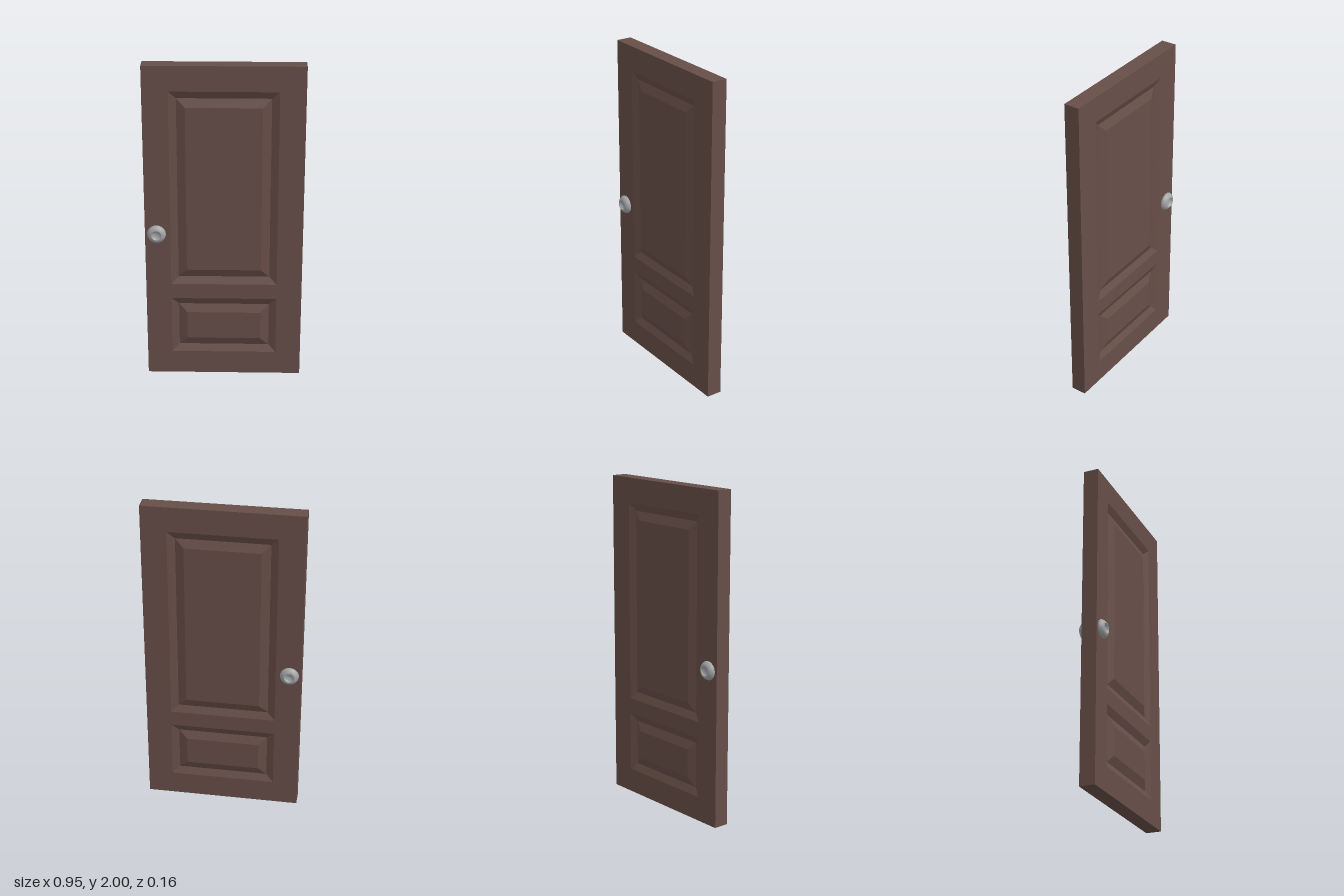
import * as THREE from 'three';

const W = 0.475, H = 2, D = 0.047; // half width, height, half thickness
const GROOVE = 0.02, BAND = 0.045; // groove depth, width of each bevel
const PANELS = [[-0.322, 0.62, 0.322, 1.848], [-0.322, 0.15, 0.322, 0.522]];

// Raised panel in a V groove, lofted from nested rectangles
function panelGeometry([x0, y0, x1, y1]) {
  const ring = (inset, z) => [
    [x0 + inset, y0 + inset, z], [x1 - inset, y0 + inset, z],
    [x1 - inset, y1 - inset, z], [x0 + inset, y1 - inset, z],
  ];
  const rings = [ring(0, D), ring(BAND, D - GROOVE), ring(BAND * 2.15, D)];
  const pos = [];
  const quad = (a, b, c, d) => pos.push(...a, ...b, ...c, ...a, ...c, ...d);
  for (let r = 0; r < 2; r++) {
    for (let i = 0; i < 4; i++) {
      const j = (i + 1) % 4;
      quad(rings[r][i], rings[r][j], rings[r + 1][j], rings[r + 1][i]);
    }
  }
  quad(...rings[2]);
  const g = new THREE.BufferGeometry();
  g.setAttribute('position', new THREE.Float32BufferAttribute(pos, 3));
  g.computeVertexNormals();
  return g;
}

// Flat door face with openings for the panels
function faceGeometry() {
  const rect = (P, x0, y0, x1, y1) => new P([[x0, y0], [x1, y0], [x1, y1], [x0, y1]]
    .map(([x, y]) => new THREE.Vector2(x, y)));
  const shape = rect(THREE.Shape, -W, 0, W, H);
  for (const p of PANELS) shape.holes.push(rect(THREE.Path, ...p));
  return new THREE.ShapeGeometry(shape).translate(0, 0, D);
}

export function createModel() {
  const wood = new THREE.MeshStandardMaterial({ color: 0x674e48 });
  wood.name = 'brown wood';
  const metal = new THREE.MeshStandardMaterial({ color: 0xa2a4a6 });
  metal.name = 'grey metal';

  const door = new THREE.Group();
  door.name = 'door';
  const add = (parent, name, geometry, material) => {
    const mesh = new THREE.Mesh(geometry, material);
    mesh.name = name;
    parent.add(mesh);
  };

  // Four outer edges: a box without its front and back
  const edges = new THREE.BoxGeometry(W * 2, H, D * 2).translate(0, H / 2, 0);
  edges.setIndex(Array.from(edges.index.array.slice(0, 24)));
  edges.clearGroups();
  add(door, 'doorEdges', edges, wood);

  const face = faceGeometry();
  const panels = PANELS.map(panelGeometry);

  // Knob: rounded rim with a shallow dish in the middle
  const lathe = (pts) => new THREE.LatheGeometry(pts.map(([r, y]) => new THREE.Vector2(r, y)), 24)
    .rotateX(Math.PI / 2);
  const rim = lathe([[0.05, -0.005], [0.057, 0.004], [0.055, 0.013], [0.048, 0.023], [0.039, 0.03], [0.03, 0.032]]);
  const dish = lathe([[0.03, 0.032], [0.026, 0.024], [0.015, 0.018], [0, 0.016]]);

  // Same face, panels and knob on both sides
  for (const side of ['front', 'back']) {
    const s = side === 'front' ? 1 : -1;
    const half = new THREE.Group();
    half.name = side + 'Side';
    half.rotation.y = s > 0 ? 0 : Math.PI;
    add(half, side + 'Frame', face, wood);
    add(half, side + 'UpperPanel', panels[0], wood);
    add(half, side + 'LowerPanel', panels[1], wood);

    const knob = new THREE.Group();
    knob.name = side + 'Knob';
    knob.position.set(-0.405 * s, 0.955, D);
    add(knob, 'knobRim', rim, metal);
    add(knob, 'knobDish', dish, metal);
    half.add(knob);
    door.add(half);
  }
  return door;
}
